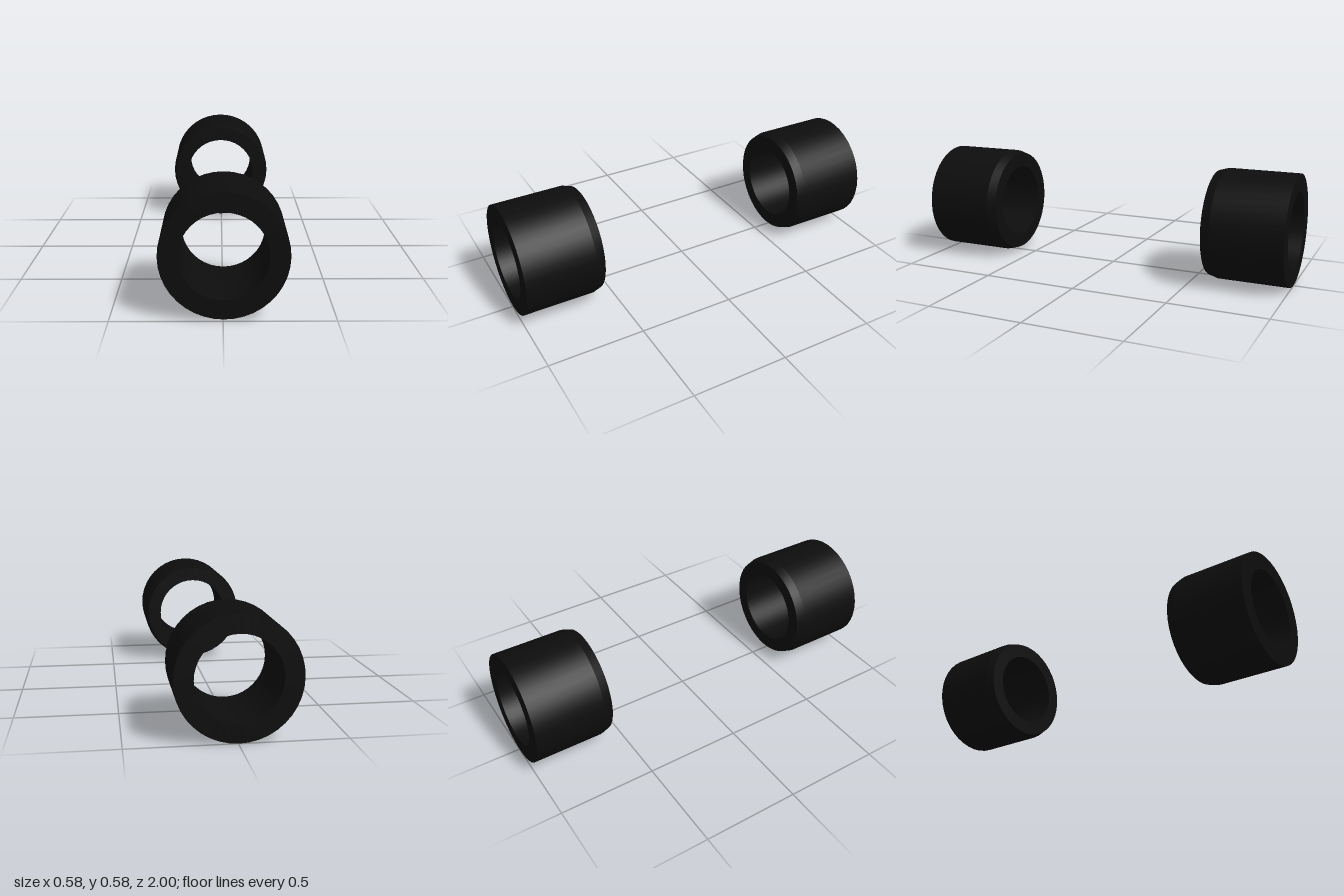
import * as THREE from 'three';
import { toCreasedNormals } from 'three/addons/utils/BufferGeometryUtils.js';

export function createModel() {
  const model = new THREE.Group();
  model.name = 'tyrePair';

  const rubber = new THREE.MeshStandardMaterial({ color: 0x0d0d0d });
  rubber.name = 'black rubber';

  // Closed ring section (radius, distance along the axle), chamfered on the inboard shoulder
  const section = [
    [0.198, 0.585], [0.273, 0.585], [0.287, 0.632], [0.287, 1], [0.198, 1], [0.198, 0.585],
  ].map(([r, d]) => new THREE.Vector2(r, d));
  const ring = toCreasedNormals(new THREE.LatheGeometry(section, 40), 0.25);

  // The axle direction points outboard, so the two tyres are turned opposite ways
  const addTyre = (name, side, x, y) => {
    const tyre = new THREE.Mesh(ring, rubber);
    tyre.name = name;
    tyre.rotation.x = side * Math.PI / 2;
    tyre.position.set(x, y, 0);
    model.add(tyre);
  };
  addTyre('frontTyre', 1, 0.004, 0.298);
  addTyre('backTyre', -1, -0.004, 0.289);

  return model;
}
